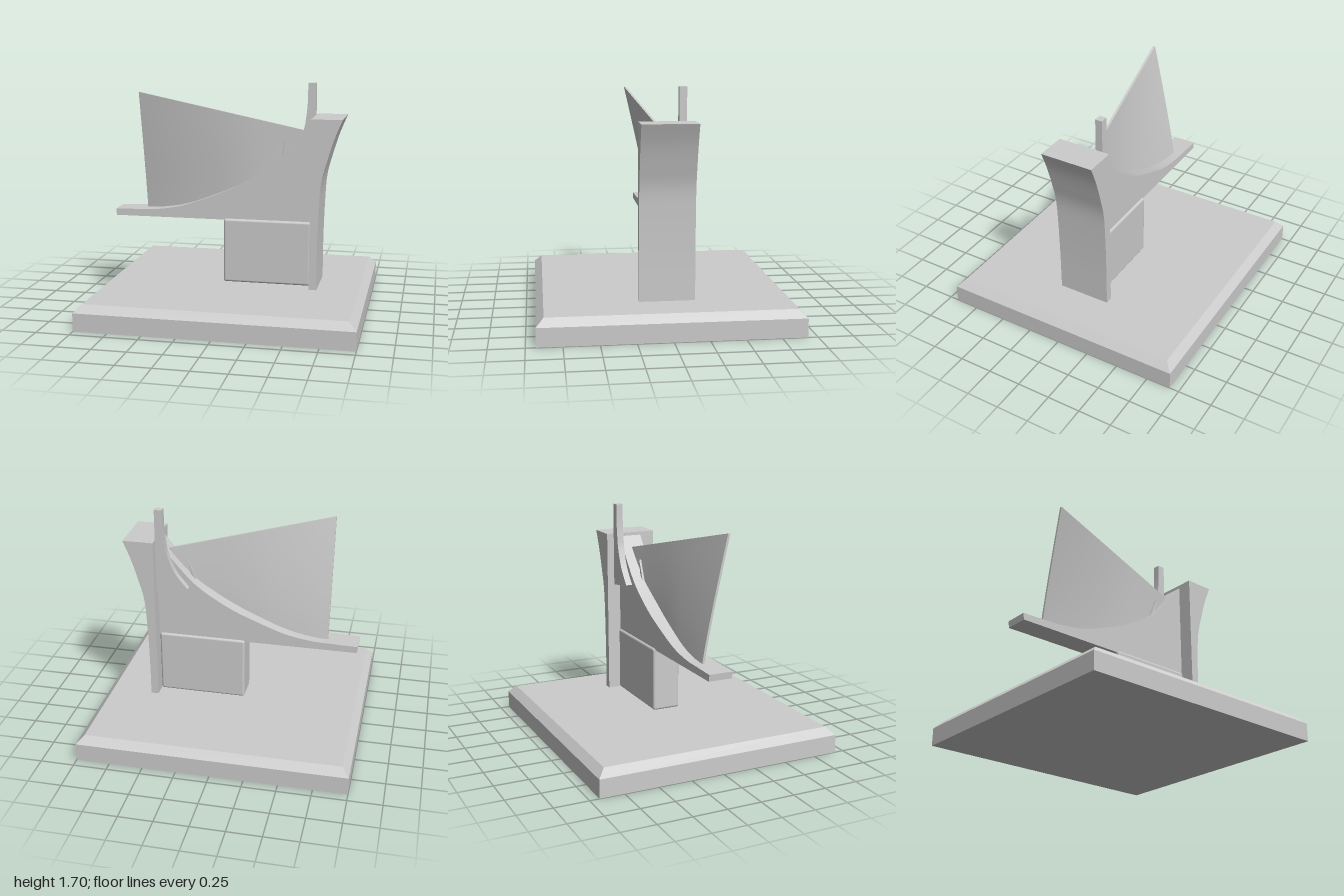
import * as THREE from 'three';
import { toCreasedNormals } from 'three/addons/utils/BufferGeometryUtils.js';
import { RoundedBoxGeometry } from 'three/addons/geometries/RoundedBoxGeometry.js';

const material = new THREE.MeshStandardMaterial({ color: 0xcccccc });

function part(name, geometry) {
  const mesh = new THREE.Mesh(geometry, material);
  mesh.name = name;
  return mesh;
}

// Side profile in x/y, extruded from z0 to z1
function slab(shape, z0, z1) {
  const g = new THREE.ExtrudeGeometry(shape, { depth: z1 - z0, bevelEnabled: false, curveSegments: 12 });
  g.translate(0, 0, z0);
  return toCreasedNormals(g, 0.5);
}

const vecs = (pts) => pts.map(([x, y]) => new THREE.Vector2(x, y));

// Top line of the sloping beam
const slopeCurve = new THREE.SplineCurve(vecs([
  [-0.945, 0.72], [-0.75, 0.725], [-0.59, 0.733], [-0.4, 0.768], [-0.2, 0.84], [0, 0.925],
  [0.18, 1.03], [0.3, 1.12], [0.4, 1.225], [0.5, 1.345], [0.578, 1.437],
]));
const slopePoints = slopeCurve.getPoints(60);
function slopeHeight(x) {
  let i = 1;
  while (i < slopePoints.length - 1 && slopePoints[i].x < x) i++;
  const a = slopePoints[i - 1], b = slopePoints[i];
  return a.y + (b.y - a.y) * (x - a.x) / (b.x - a.x);
}

// Square base with a chamfered upper rim
function baseGeometry() {
  const g = new THREE.BoxGeometry(2, 0.19, 1.86, 1, 2, 1).toNonIndexed();
  const p = g.attributes.position;
  for (let i = 0; i < p.count; i++) {
    const y = p.getY(i);
    if (y > 0.05) {
      p.setX(i, Math.sign(p.getX(i)) * 0.945);
      p.setZ(i, Math.sign(p.getZ(i)) * 0.875);
    }
    p.setY(i, y > 0.05 ? 0.19 : y < -0.05 ? 0 : 0.135);
  }
  g.computeVertexNormals();
  return g;
}

// Thin twisted sheet: upright at the tip, leaning forward at the wide end
function sailGeometry() {
  const g = new THREE.BoxGeometry(1, 1, 1, 24, 8, 1);
  const p = g.attributes.position;
  const foot = new THREE.SplineCurve(vecs([[-0.715, -0.02], [-0.1, 0.0], [0.2, 0.018], [0.51, -0.01]]));
  for (let i = 0; i < p.count; i++) {
    const u = p.getX(i) + 0.5, v = p.getY(i) + 0.5;
    const x = -0.715 + 1.23 * u;
    const top = 1.635 - 0.28 * u;
    const bottom = Math.min(slopeHeight(x) - 0.006, top - 0.002);
    const zFoot = foot.getPoint(u).y;
    const zTop = 0.172 - 0.182 * u;
    const z = zFoot + (zTop - zFoot) * Math.pow(v, 1.1);
    p.setXYZ(i, x, bottom + (top - bottom) * v, z + p.getZ(i) * 0.018);
  }
  return toCreasedNormals(g, 0.6);
}

export function createModel() {
  const model = new THREE.Group();
  model.name = 'plinthSculpture';

  model.add(part('base', baseGeometry()));

  // Block under the beam
  const block = part('supportBlock', new RoundedBoxGeometry(0.665, 0.49, 0.215, 3, 0.018));
  block.position.set(0.2425, 0.435, -0.0025);
  model.add(block);

  // Beam sweeping up to the column
  const beam = new THREE.Shape([...vecs([[0.578, 0.67], [-0.94, 0.67]]), ...slopePoints]);
  model.add(part('slopingBeam', slab(beam, -0.095, 0.085)));

  // Column flaring outward at the top
  const column = new THREE.Shape();
  column.moveTo(0.578, 0.19);
  column.lineTo(0.635, 0.19);
  column.splineThru(vecs([[0.636, 0.5], [0.645, 0.8], [0.66, 1.0], [0.7, 1.16], [0.75, 1.32], [0.808, 1.462]]));
  column.lineTo(0.578, 1.462);
  model.add(part('column', slab(column, -0.2, 0.2)));

  // Tapering post on the back of the beam
  const post = new THREE.Shape();
  post.moveTo(0.576, 1.05);
  post.lineTo(0.576, 1.7);
  post.lineTo(0.517, 1.7);
  post.splineThru(vecs([[0.515, 1.56], [0.505, 1.45], [0.487, 1.35], [0.43, 1.21], [0.337, 1.09]]));
  model.add(part('rearPost', slab(post, -0.145, -0.092)));

  model.add(part('sail', sailGeometry()));

  // Small gusset piercing the sail near its tip
  const gusset = new THREE.Shape(vecs([[0.3, 1.115], [0.345, 1.16], [0.365, 1.28]]));
  model.add(part('sailGusset', slab(gusset, -0.02, 0.035)));

  return model;
}
